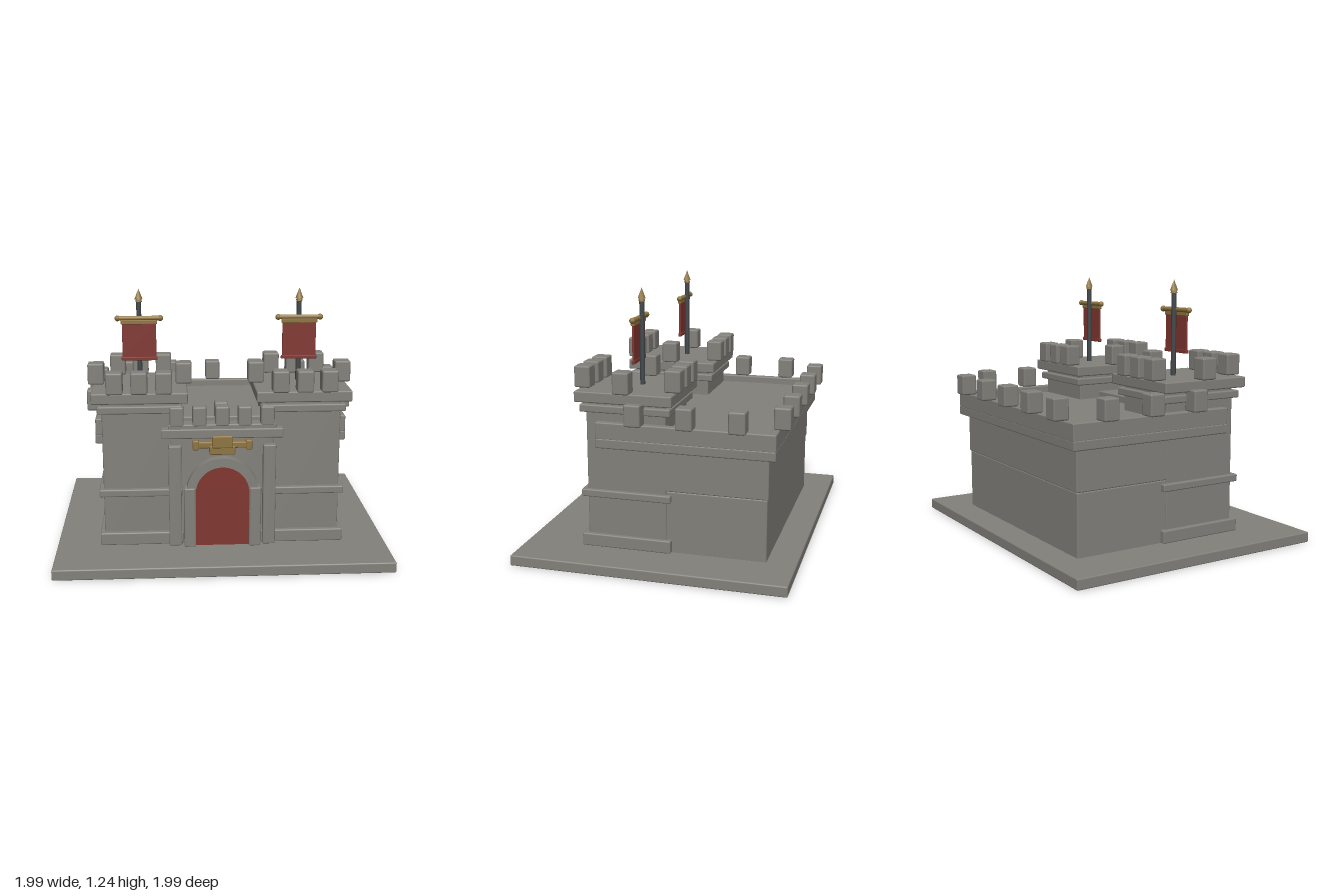
import * as THREE from 'three';
import { RoundedBoxGeometry } from 'three/addons/geometries/RoundedBoxGeometry.js';

const material = (name, color) => new THREE.MeshStandardMaterial({ name, color });

export function createModel() {
  const stone = material('stone', 0x83817b);
  const red = material('red', 0x813630);
  const gold = material('gold', 0x8f7440);
  const iron = material('iron', 0x42484c);

  const model = new THREE.Group();
  model.name = 'castle';
  const castle = new THREE.Group();
  castle.name = 'castleBody';
  castle.rotation.y = Math.PI / 4; // the gate faces between +x and +z
  model.add(castle);

  const add = (parent, name, geometry, mat, x = 0, y = 0, z = 0) => {
    const mesh = new THREE.Mesh(geometry, mat);
    mesh.name = name;
    mesh.position.set(x, y, z);
    parent.add(mesh);
    return mesh;
  };
  // Bevelled block given by its limits on each axis
  const block = (parent, name, [x0, x1], [y0, y1], [z0, z1], mat = stone, bevel = 0.006) =>
    add(parent, name, new RoundedBoxGeometry(x1 - x0, y1 - y0, z1 - z0, 1, bevel), mat,
      (x0 + x1) / 2, (y0 + y1) / 2, (z0 + z1) / 2);
  const merlon = (parent, x, y, z, s = 0.076, h = 0.1) =>
    block(parent, 'merlon', [x - s / 2, x + s / 2], [y, y + h], [z - s / 2, z + s / 2], stone, 0.008);

  block(castle, 'base', [-0.778, 0.778], [0, 0.05], [-0.636, 0.636]);

  // Keep: two wall courses, cornice, floor and parapet
  const keep = new THREE.Group();
  keep.name = 'keep';
  castle.add(keep);
  block(keep, 'lowerWall', [-0.548, 0.548], [0.045, 0.34], [-0.5, 0.27]);
  block(keep, 'upperWall', [-0.553, 0.553], [0.34, 0.54], [-0.505, 0.27]);
  block(keep, 'cornice', [-0.59, 0.59], [0.53, 0.575], [-0.54, 0.285]);
  block(keep, 'floor', [-0.57, 0.57], [0.57, 0.615], [-0.52, 0.28]);
  block(keep, 'backParapet', [-0.585, 0.585], [0.57, 0.65], [-0.54, -0.505]);
  for (const x of [-0.47, -0.235, 0, 0.235, 0.47]) merlon(keep, x, 0.65, -0.55);
  for (const s of [-1, 1]) {
    block(keep, 'sideParapet', s > 0 ? [0.55, 0.588] : [-0.588, -0.55], [0.57, 0.65], [-0.54, 0.285]);
    for (const z of [-0.376, -0.14, 0.095]) merlon(keep, s * 0.597, 0.65, z);
  }

  // Two mirrored towers with bands, platform, battlements and a banner
  for (const s of [-1, 1]) {
    const tower = new THREE.Group();
    tower.name = s > 0 ? 'leftTower' : 'rightTower';
    tower.position.set(s * 0.379, 0, 0.15);
    castle.add(tower);
    const tier = (name, hw, y0, y1, hd) => block(tower, name, [-hw, hw], [y0, y1], [-hd, hd]);
    tier('towerWall', 0.175, 0.045, 0.75, 0.187);
    tier('footing', 0.195, 0.05, 0.11, 0.212);
    tier('middleBand', 0.195, 0.29, 0.325, 0.212);
    tier('upperBand', 0.195, 0.69, 0.725, 0.212);
    tier('platform', 0.221, 0.74, 0.79, 0.227);
    for (const x of [-0.112, 0, 0.112])
      for (const z of [-0.21, 0.214]) merlon(tower, x, 0.79, z);
    for (const x of [-0.207, 0.207]) merlon(tower, x, 0.79, 0);

    const flag = new THREE.Group();
    flag.name = 'banner';
    flag.position.set(0, 0, -0.026);
    tower.add(flag);
    add(flag, 'pole', new THREE.CylinderGeometry(0.012, 0.012, 0.4, 10), iron, 0, 0.985, 0);
    add(flag, 'spearCollar', new THREE.CylinderGeometry(0.012, 0.016, 0.018, 10), gold, 0, 1.182, 0);
    add(flag, 'spearTip', new THREE.ConeGeometry(0.019, 0.05, 8), gold, 0, 1.21, 0);
    const bar = add(flag, 'crossbar', new THREE.CylinderGeometry(0.011, 0.011, 0.2, 10), gold, 0, 1.097, 0.012);
    bar.rotation.z = Math.PI / 2;
    for (const e of [-1, 1])
      add(flag, 'barEnd', new THREE.SphereGeometry(0.014, 10, 8), gold, e * 0.1, 1.097, 0.012);
    block(flag, 'bannerTrim', [-0.085, 0.085], [1.07, 1.09], [0.008, 0.026], gold, 0.003);
    block(flag, 'cloth', [-0.08, 0.08], [0.91, 1.075], [0.012, 0.022], red, 0.002);
    block(flag, 'hem', [-0.085, 0.085], [0.897, 0.914], [0.009, 0.025], red, 0.003);
  }

  // Gatehouse between the towers
  const gate = new THREE.Group();
  gate.name = 'gatehouse';
  castle.add(gate);
  block(gate, 'gateWall', [-0.24, 0.24], [0.045, 0.6], [0.1, 0.355]);
  block(gate, 'wallWalk', [-0.21, 0.21], [0.56, 0.65], [0.08, 0.27]);
  block(gate, 'gatePlatform', [-0.283, 0.283], [0.575, 0.62], [0.26, 0.385]);
  block(gate, 'gateParapet', [-0.25, 0.25], [0.615, 0.64], [0.3, 0.375]);
  for (let i = -2; i <= 2; i++) merlon(gate, i * 0.105, 0.63, 0.345, 0.064, 0.092);
  merlon(gate, 0, 0.645, 0.27, 0.064, 0.08);

  // Arched doorway: surround with hole, door leaf, jambs and pillars
  const archOutline = (r, Shape) => {
    const p = new Shape();
    p.moveTo(-r, 0.05);
    p.lineTo(r, 0.05);
    p.lineTo(r, 0.315);
    p.absarc(0, 0.315, r, 0, Math.PI, false);
    p.lineTo(-r, 0.05);
    return p;
  };
  const surround = archOutline(0.168, THREE.Shape);
  surround.holes.push(archOutline(0.125, THREE.Path));
  add(gate, 'archSurround', new THREE.ExtrudeGeometry(surround,
    { depth: 0.05, bevelEnabled: false, curveSegments: 16 }), stone, 0, 0, 0.35);
  add(gate, 'door', new THREE.ExtrudeGeometry(archOutline(0.126, THREE.Shape),
    { depth: 0.03, bevelEnabled: false, curveSegments: 16 }), red, 0, 0, 0.352);
  for (const s of [-1, 1]) {
    const span = (a, b) => (s > 0 ? [a, b] : [-b, -a]);
    block(gate, 'jamb', span(0.127, 0.18), [0.05, 0.34], [0.35, 0.405]);
    block(gate, 'pillar', span(0.19, 0.25), [0.05, 0.54], [0.32, 0.385]);
  }

  // Golden ornament above the door
  const ornament = new THREE.Group();
  ornament.name = 'ornament';
  gate.add(ornament);
  block(ornament, 'ornamentPlate', [-0.06, 0.06], [0.497, 0.54], [0.35, 0.39], gold);
  block(ornament, 'ornamentCrest', [-0.048, 0.048], [0.53, 0.588], [0.35, 0.395], gold);
  block(ornament, 'ornamentBar', [-0.125, 0.125], [0.528, 0.558], [0.352, 0.385], gold);
  for (const s of [-1, 1])
    block(ornament, 'ornamentEnd', s > 0 ? [0.108, 0.138] : [-0.138, -0.108], [0.52, 0.566], [0.352, 0.39], gold);

  return model;
}
